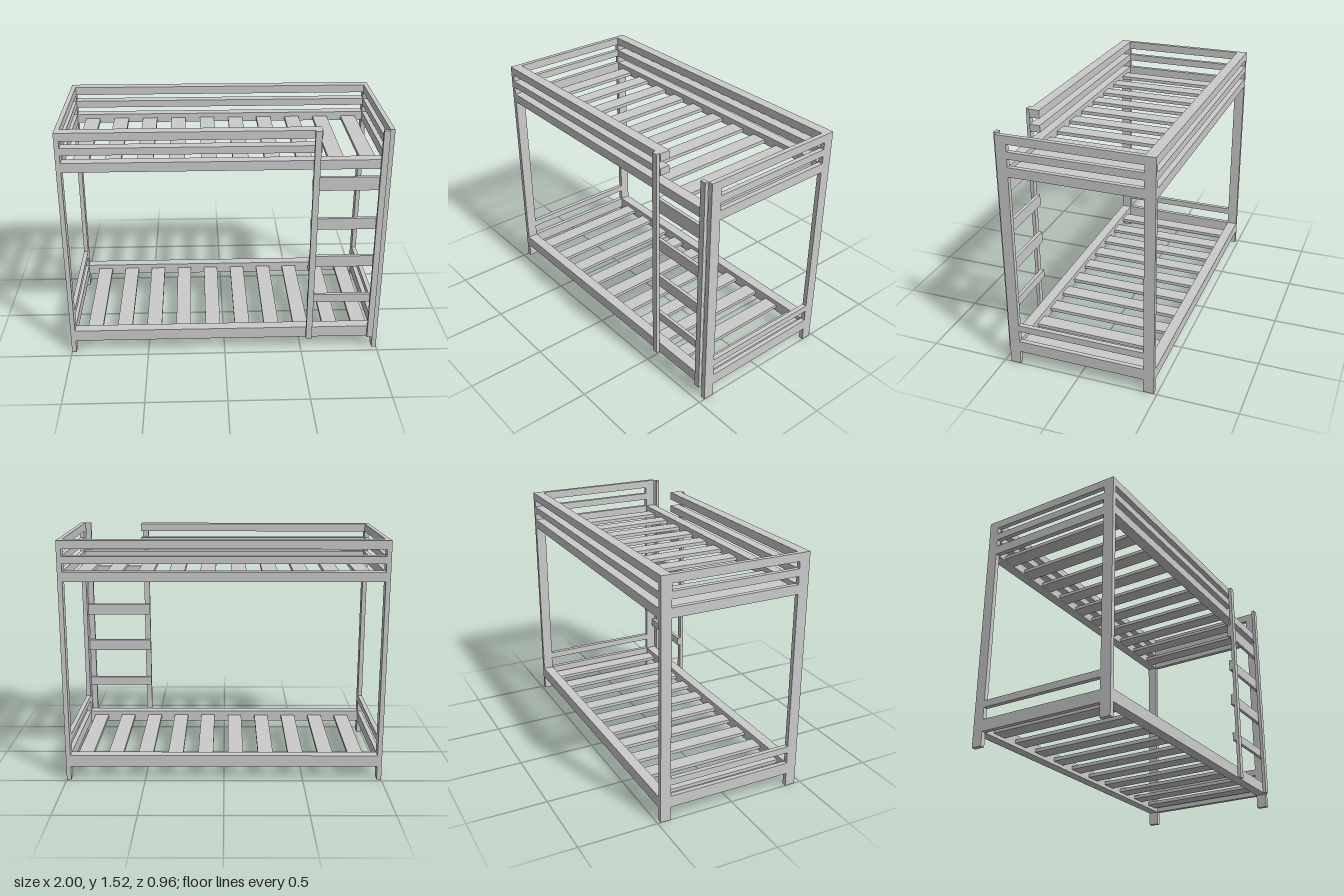
import * as THREE from 'three';

const material = new THREE.MeshStandardMaterial({ color: 0xcccccc, flatShading: true });

// Box given by its minimum and maximum on each axis.
function board(parent, name, [x0, x1], [y0, y1], [z0, z1]) {
  const mesh = new THREE.Mesh(new THREE.BoxGeometry(x1 - x0, y1 - y0, z1 - z0), material);
  mesh.position.set((x0 + x1) / 2, (y0 + y1) / 2, (z0 + z1) / 2);
  mesh.name = name;
  parent.add(mesh);
}

function section(parent, name) {
  const group = new THREE.Group();
  group.name = name;
  parent.add(group);
  return group;
}

export function createModel() {
  const bed = new THREE.Group();
  bed.name = 'bunkBed';

  const TOP = 1.523;
  const INNER = 0.971;            // inner face of the posts in x
  const FRONT = [0.392, 0.459];   // depth of front posts and rails
  const BACK = [-0.481, -0.415];  // depth of back posts and rails
  const BETWEEN = [BACK[1], FRONT[0]];

  const guardRails = [[1.472, TOP], [1.383, 1.428]];
  const upperRail = [1.275, 1.334];
  const lowerRail = [0.088, 0.162];

  // Four corner posts
  const posts = section(bed, 'posts');
  const leftX = [INNER, 1], rightX = [-1, -INNER];
  for (const x of [leftX, rightX]) {
    board(posts, 'frontPost', x, [0, TOP], FRONT);
    board(posts, 'backPost', x, [0, TOP], BACK);
  }

  // Long rails; the front guard rails stop at the ladder opening
  const rails = section(bed, 'longRails');
  for (const y of [upperRail, lowerRail]) {
    board(rails, 'frontBedRail', [-INNER, INNER], y, FRONT);
    board(rails, 'backBedRail', [-INNER, INNER], y, BACK);
  }
  for (const y of guardRails) {
    board(rails, 'frontGuardRail', [-INNER, 0.576], y, FRONT);
    board(rails, 'backGuardRail', [-INNER, INNER], y, BACK);
  }

  // Short rails at both ends
  const ends = section(bed, 'endRails');
  for (const x of [leftX, rightX]) {
    for (const y of [...guardRails, upperRail, [0.236, 0.279], lowerRail]) {
      board(ends, 'endRail', x, y, BETWEEN);
    }
  }

  // Slats of both bunks, the lower set shifted slightly
  const bunks = [
    { name: 'upperSlats', y: [1.283, 1.305], start: -0.914 },
    { name: 'lowerSlats', y: [0.11, 0.132], start: -0.896 },
  ];
  for (const { name, y, start } of bunks) {
    const slats = section(bed, name);
    for (let i = 0; i < 10; i++) {
      const x = start + i * 0.1932;
      board(slats, 'slat', [x, x + 0.097], y, BETWEEN);
    }
  }

  // Ladder: stiles on the front face, rungs fixed behind them
  const ladder = section(bed, 'ladder');
  for (const x of [[0.53, 0.568], [0.931, 0.969]]) {
    board(ladder, 'ladderStile', x, [0.088, TOP], [FRONT[1], 0.481]);
  }
  for (const y of [[0.35, 0.406], [0.61, 0.685], [0.872, 0.947], [1.135, 1.222]]) {
    board(ladder, 'ladderRung', [0.53, 0.969], y, [0.437, FRONT[1]]);
  }

  return bed;
}
